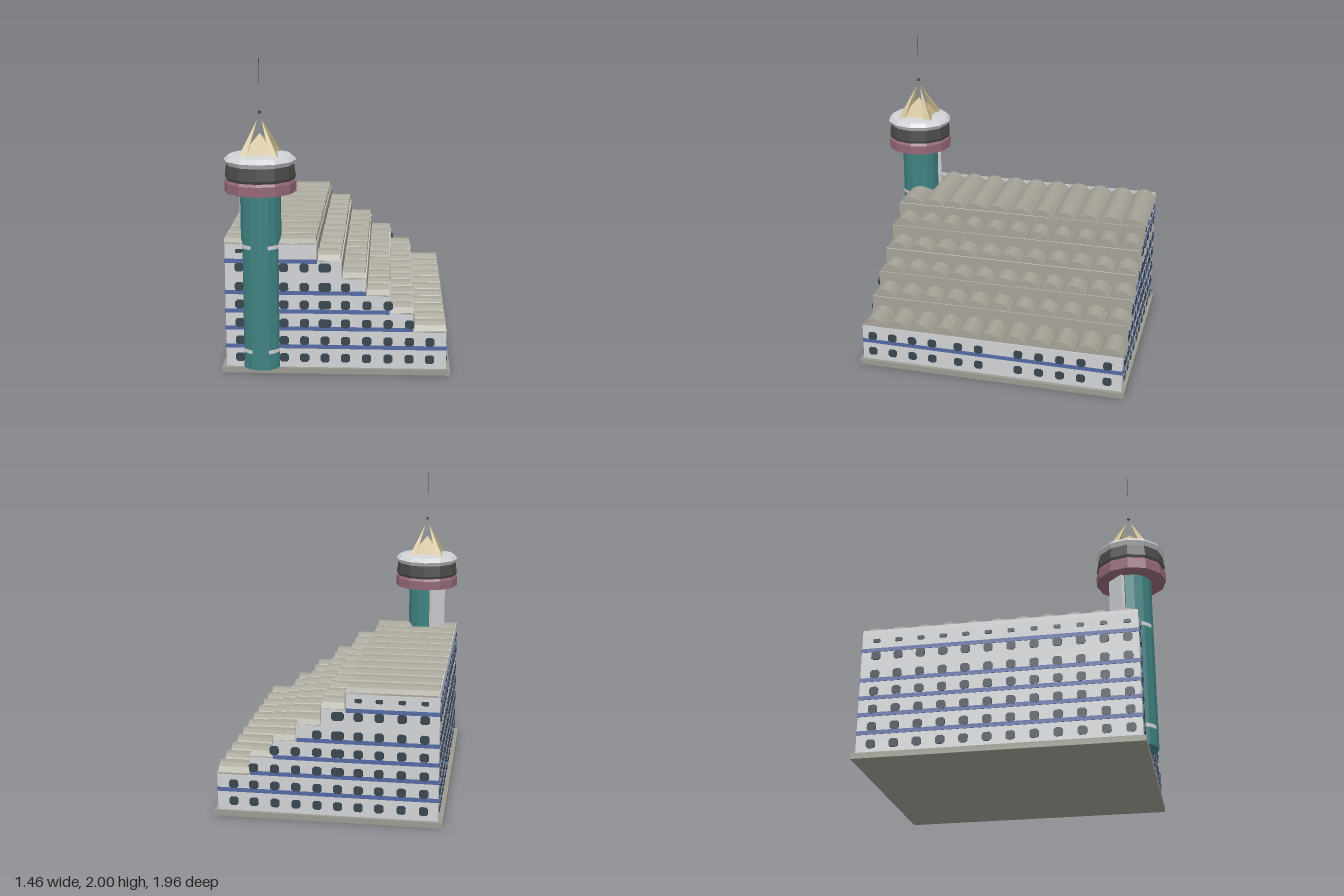
import * as THREE from 'three';

const mat = (name, color, extra = {}) =>
  Object.assign(new THREE.MeshStandardMaterial({ color, ...extra }), { name });

export function createModel() {
  const M = {
    wall: mat('pale wall', 0xd0d2d5),
    roof: mat('roof grey', 0xa5a297),
    base: mat('base grey', 0x9b9a91),
    teal: mat('teal', 0x3f8181),
    blue: mat('band blue', 0x5468a4),
    glass: mat('window slate', 0x38454f),
    pink: mat('dusty pink', 0x936877),
    dark: mat('charcoal', 0x4a4a49),
    tan: mat('tan', 0xc2b288),
  };
  for (const m of [M.wall, M.teal, M.pink, M.dark, M.tan]) m.flatShading = true;

  const model = new THREE.Group();
  model.name = 'steppedBuilding';
  const add = (parent, name, geo, material, x = 0, y = 0, z = 0) => {
    const mesh = new THREE.Mesh(geo, material);
    mesh.name = name;
    mesh.position.set(x, y, z);
    parent.add(mesh);
    return mesh;
  };
  // box given by its limits
  const box = (parent, name, material, x0, x1, y0, y1, z0, z1) =>
    add(parent, name, new THREE.BoxGeometry(x1 - x0, y1 - y0, z1 - z0), material,
      (x0 + x1) / 2, (y0 + y1) / 2, (z0 + z1) / 2);

  const ZB = -0.96, ZF = 0.81, XL = -0.7, XR = 0.7;
  // each tier: start x, end x, valley height, peak height
  const tiers = [
    [XL, -0.12, 0.85, 0.895], [-0.12, 0.035, 0.74, 0.8], [0.035, 0.19, 0.63, 0.68],
    [0.19, 0.34, 0.52, 0.572], [0.34, 0.49, 0.405, 0.458], [0.49, XR, 0.285, 0.342],
  ];

  box(model, 'basePlate', M.base, -0.73, 0.725, 0, 0.037, -0.98, 0.83);

  // stepped wall block
  const outline = new THREE.Shape().moveTo(XL, 0.03).lineTo(XR, 0.03);
  for (const [x0, x1, y] of [...tiers].reverse()) outline.lineTo(x1, y).lineTo(x0, y);
  outline.closePath();
  add(model, 'walls', new THREE.ExtrudeGeometry(outline, { depth: ZF - ZB, bevelEnabled: false }),
    M.wall, 0, 0, ZB);
  box(model, 'leftParapet', M.wall, XL, XL + 0.008, 0.84, 0.878, ZB, ZF);

  // rows of barrel vaults with grey risers between tiers
  const vaults = 11, pitch = (ZF - ZB) / vaults, steps = 6;
  tiers.forEach(([x0, x1, y, peak], i) => {
    const tier = new THREE.Group();
    tier.name = 'roofTier' + (i + 1);
    const s = new THREE.Shape().moveTo(-ZF, y - 0.008);
    for (let v = 0; v < vaults; v++)
      for (let k = 0; k <= steps; k++)
        s.lineTo(-ZF + (v + k / steps) * pitch,
          y + 0.002 + (peak - y) * Math.sin(Math.PI * k / steps) ** 0.85);
    s.lineTo(-ZB, y - 0.008);
    const geo = new THREE.ExtrudeGeometry(s, { depth: x1 - x0 - 0.012, bevelEnabled: false });
    geo.rotateY(Math.PI / 2);
    add(tier, 'vaults', geo, M.roof, x0 + 0.006);
    if (tiers[i + 1])
      box(tier, 'riser', M.roof, x1 - 0.004, x1 + 0.004, tiers[i + 1][2], y, ZB, ZF);
    model.add(tier);
  });

  // blue floor bands
  const bands = new THREE.Group();
  bands.name = 'floorBands';
  const h = 0.013, t = 0.004;
  for (const [y, xEnd] of [[0.175, XR], [0.295, 0.488], [0.408, 0.338], [0.53, 0.188], [0.735, -0.12]]) {
    box(bands, 'frontBand', M.blue, XL, xEnd, y - h, y + h, ZF - t, ZF + t);
    box(bands, 'backBand', M.blue, XL, xEnd, y - h, y + h, ZB - t, ZB + t);
    box(bands, 'leftBand', M.blue, XL - t, XL + t, y - h, y + h, ZB, ZF);
  }
  box(bands, 'rightBand', M.blue, XR - t, XR + t, 0.162, 0.188, ZB, ZF);
  model.add(bands);

  // windows: thin plates with clipped corners
  const windows = new THREE.Group();
  windows.name = 'windows';
  const pane = (w, hh) => {
    const a = w / 2, b = hh / 2, c = Math.min(w, hh) * 0.22;
    const pts = [[a, -b + c], [a, b - c], [a - c, b], [c - a, b], [-a, b - c], [-a, c - b], [c - a, -b], [a - c, -b]];
    return new THREE.ExtrudeGeometry(new THREE.Shape(pts.map(p => new THREE.Vector2(...p))),
      { depth: 0.006, bevelEnabled: false });
  };
  const normal = pane(0.058, 0.056), wide = pane(0.08, 0.056), small = pane(0.045, 0.026);
  const win = (geo, x, y, z, turn) => { add(windows, 'window', geo, M.glass, x, y, z).rotation.y = turn; };
  const rows = [0.1, 0.215, 0.33, 0.452, 0.568, 0.695, 0.8];
  const columns = [-0.61, -0.47, -0.33, -0.2, -0.07, 0.06, 0.195, 0.33, 0.465, 0.595];
  const limits = [0.7, 0.7, 0.48, 0.34, 0.12, -0.05, -0.15];
  rows.forEach((y, r) => {
    const geo = r === 6 ? small : normal;
    for (const x of columns) {
      if (x > limits[r]) continue;
      const g = x === -0.07 && r > 1 ? wide : geo;
      if (r < 6 || x < -0.6) win(g, x, y, ZF, 0);
      win(g, x, y, ZB, Math.PI);
    }
    for (let k = 0; k < 12; k++) win(geo, XL, y, -0.865 + k * 0.146, -Math.PI / 2);
    if (r < 2)
      for (const z of [0.74, 0.6, 0.46, 0.32, 0.14, 0, -0.27, -0.41, -0.55, -0.69, -0.865])
        win(normal, XR, y, z, Math.PI / 2);
  });
  model.add(windows);

  // corner tower
  const tower = new THREE.Group();
  tower.name = 'tower';
  tower.position.set(-0.473, 0, 0.758);
  model.add(tower);
  add(tower, 'shaft', new THREE.CylinderGeometry(0.128, 0.128, 1.15, 14), M.teal, 0, 0.61, 0);
  const core = add(tower, 'paleCore', new THREE.BoxGeometry(0.125, 1.15, 0.135), M.wall, -0.048, 0.61, -0.048);
  core.rotation.y = Math.PI / 4;
  const rad = Math.PI / 180;
  for (const y of [0.155, 0.835])
    for (const [a, b] of [[-62, -24], [24, 62], [104, 158]])
      add(tower, 'paleMark', new THREE.CylinderGeometry(0.131, 0.131, 0.025, 5, 1, true, a * rad, (b - a) * rad),
        M.wall, 0, y, 0);

  // tower head in three rings
  const ring = (name, material, profile) =>
    add(tower, name, new THREE.LatheGeometry(profile.map(p => new THREE.Vector2(...p)), 12), material);
  ring('pinkRing', M.pink, [[0, 1.178], [0.225, 1.178], [0.225, 1.24], [0.215, 1.258]]);
  ring('darkRing', M.dark, [[0.215, 1.255], [0.222, 1.275], [0.212, 1.35]]);
  ring('paleRing', M.wall, [[0.205, 1.34], [0.227, 1.378], [0.2, 1.405], [0.12, 1.417], [0, 1.42]]);

  // tan crown: low pyramid and four leaning fins
  add(tower, 'crownPyramid', new THREE.ConeGeometry(0.155, 0.13, 4).rotateY(Math.PI / 4), M.tan, 0, 1.475, 0);
  for (let i = 0; i < 4; i++) {
    const fin = new THREE.ConeGeometry(0.034, 0.215, 4, 1);
    const p = fin.attributes.position;
    for (let k = 0; k < p.count; k++)
      p.setX(k, p.getX(k) + 0.135 - 0.115 * (p.getY(k) / 0.215 + 0.5));
    fin.computeVertexNormals();
    add(tower, 'crownFin', fin, M.tan, 0, 1.517, 0).rotation.y = Math.PI / 4 + i * Math.PI / 2;
  }
  add(tower, 'finial', new THREE.BoxGeometry(0.018, 0.016, 0.018), M.dark, 0, 1.67, 0);
  add(tower, 'mast', new THREE.CylinderGeometry(0.002, 0.002, 0.15, 5), M.dark, 0, 1.925, 0);
  return model;
}
